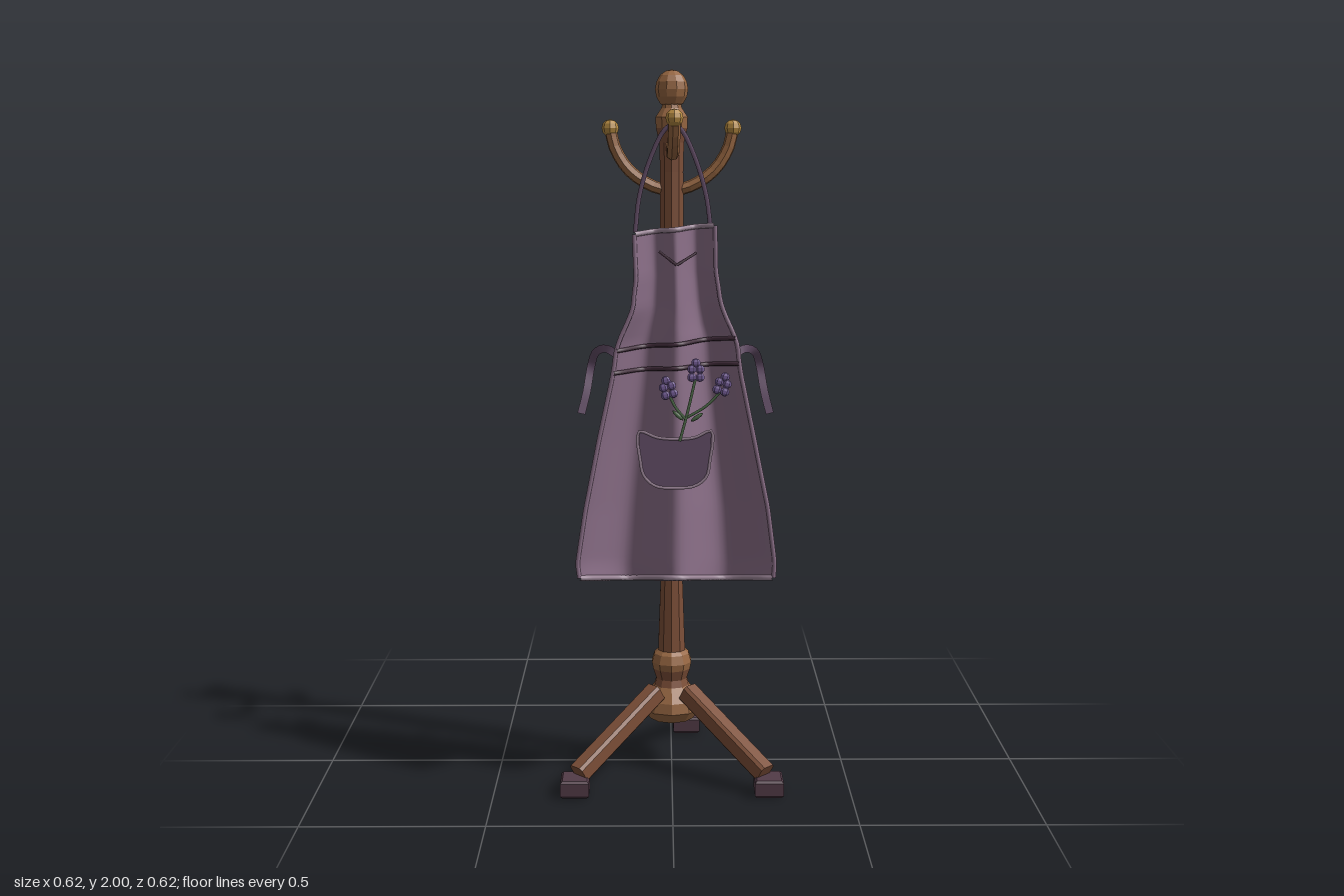
import * as THREE from 'three';

const mat = (name, color, opts = {}) => Object.assign(new THREE.MeshStandardMaterial({ color, ...opts }), { name });
const V = (p) => new THREE.Vector3(...p);

export function createModel() {
  const root = new THREE.Group();
  root.name = 'coatStandWithApron';
  const DS = { side: THREE.DoubleSide };
  const wood = mat('darkWood', 0x7d4f38, { flatShading: true });
  const lightWood = mat('lightWood', 0x966641, { flatShading: true });
  const brass = mat('brass', 0xb58a42, { flatShading: true });
  const footMat = mat('footPlum', 0x523b47, { flatShading: true });
  const fabric = mat('mauveFabric', 0x8c7089, DS);
  const strapMat = mat('plumStrap', 0x66506a, DS);
  const stitch = mat('darkStitch', 0x46303f);
  const trim = mat('paleTrim', 0x9c8698);
  const green = mat('stemGreen', 0x4f6b4a, DS);
  const violet = mat('lavender', 0x77609a, { flatShading: true });

  const add = (name, geo, material, parent = root) => {
    const m = new THREE.Mesh(geo, material);
    m.name = name;
    parent.add(m);
    return m;
  };
  const tube = (name, pts, r, material, parent = root, seg = 12, sides = 6) =>
    add(name, new THREE.TubeGeometry(new THREE.CatmullRomCurve3(pts.map(V)), seg, r, sides), material, parent);
  const lathe = (name, pts, material) =>
    add(name, new THREE.LatheGeometry(pts.map(([r, y]) => new THREE.Vector2(r, y)), 10), material);

  // Turned pole: dark shaft with lighter collars
  lathe('base', [[0, 0.135], [0.065, 0.135], [0.086, 0.165], [0.08, 0.195], [0.052, 0.235]], lightWood);
  lathe('baseNeck', [[0.052, 0.235], [0.046, 0.255], [0.056, 0.285]], wood);
  lathe('baseCollar', [[0.056, 0.285], [0.06, 0.305], [0.052, 0.33], [0.041, 0.34]], lightWood);
  lathe('lowerShaft', [[0.041, 0.34], [0.032, 0.59], [0.037, 0.6]], wood);
  lathe('middleCollar', [[0.037, 0.6], [0.043, 0.61], [0.043, 0.645], [0.038, 0.655]], lightWood);
  lathe('upperShaft', [[0.038, 0.655], [0.037, 1.2], [0.034, 1.72], [0.036, 1.8], [0.046, 1.84]], wood);
  lathe('topCollar', [[0.046, 1.84], [0.047, 1.87], [0.03, 1.895], [0.026, 1.91]], lightWood);
  const finial = add('finial', new THREE.SphereGeometry(0.046, 10, 8), lightWood);
  finial.scale.y = 1.17;
  finial.position.y = 1.946;

  // Splayed legs with chamfered square section, and block feet
  const w = 0.026, c = 0.018;
  const section = new THREE.Shape([[w, c], [c, w], [-c, w], [-w, c], [-w, -c], [-c, -w], [c, -w], [w, -c]]
    .map(([x, y]) => new THREE.Vector2(x, y)));
  const legs = [
    ['left', [0.045, 0.23, 0.062], [0.26, 0.057, 0.262], [0.27, 0.266]],
    ['right', [-0.045, 0.23, 0.062], [-0.262, 0.057, 0.262], [-0.272, 0.266]],
    ['back', [0.016, 0.23, -0.055], [0.047, 0.057, -0.265], [0.047, -0.27]]];
  for (const [side, a, b, f] of legs) {
    const leg = add(side + 'Leg', new THREE.ExtrudeGeometry(section,
      { depth: V(a).distanceTo(V(b)), bevelEnabled: false }), wood);
    leg.position.set(...a);
    leg.lookAt(V(b));
    const foot = new THREE.Shape([[-0.034, -0.038], [0.034, -0.038], [0.034, 0.038], [-0.034, 0.038]]
      .map(([x, y]) => new THREE.Vector2(x, y)));
    const fg = new THREE.ExtrudeGeometry(foot,
      { depth: 0.036, bevelSize: 0.006, bevelThickness: 0.007, bevelSegments: 1 });
    const block = add(side + 'Foot', fg.rotateX(-Math.PI / 2), footMat);
    block.position.set(f[0], 0.007, f[1]);
  }

  // Hooks with brass knobs
  const hook = (name, pts) => {
    tube(name + 'Hook', pts, 0.0175, lightWood, root, 10, 7);
    add(name + 'Knob', new THREE.SphereGeometry(0.024, 8, 6), brass).position.set(...pts.at(-1));
  };
  for (const s of [-1, 1])
    hook(s > 0 ? 'left' : 'right', [[0, 1.665, 0], [s * 0.06, 1.683, 0], [s * 0.12, 1.725, -0.002],
      [s * 0.158, 1.785, -0.005], [s * 0.171, 1.84, -0.007]]);
  hook('front', [[0, 1.795, 0.02], [0.002, 1.768, 0.1], [0.004, 1.8, 0.175], [0.006, 1.866, 0.212]]);

  // Apron cloth: u runs across (-1..1), v runs down (0..1); folds deepen to the hem
  const apron = new THREE.Group();
  apron.name = 'apron';
  root.add(apron);
  const outline = [[1.57, -0.102, 0.115], [1.45, -0.098, 0.118], [1.36, -0.108, 0.132], [1.31, -0.13, 0.152],
    [1.265, -0.15, 0.175], [1.19, -0.16, 0.183], [1.0, -0.2, 0.222], [0.8, -0.238, 0.262],
    [0.65, -0.26, 0.281], [0.605, -0.255, 0.278]];
  const cloth = (u, v) => {
    const y = 1.57 - 0.965 * v;
    let i = 0;
    while (i < outline.length - 2 && y < outline[i + 1][0]) i++;
    const [y0, l0, r0] = outline[i], [y1, l1, r1] = outline[i + 1];
    const t = THREE.MathUtils.clamp((y0 - y) / (y0 - y1), 0, 1), k = (u + 1) / 2;
    const fold = Math.cos(2 * Math.PI * u * (1 - 0.06 * u * u));
    return [(l0 + (l1 - l0) * t) * (1 - k) + (r0 + (r1 - r0) * t) * k,
      y + 0.012 * u * (1 - v) + 0.017 * v * v * fold,
      0.203 + (0.024 + 0.043 * v) * fold];
  };
  const sheet = new THREE.PlaneGeometry(2, 1, 40, 48);
  const sp = sheet.attributes.position;
  for (let i = 0; i < sp.count; i++) sp.setXYZ(i, ...cloth(sp.getX(i), 0.5 - sp.getY(i)));
  sheet.computeVertexNormals();
  add('apronCloth', sheet, fabric, apron);

  const onCloth = (u, v, dz = 0) => { const p = cloth(u, v); p[2] += dz; return p; };
  const steps = Array.from({ length: 25 }, (_, i) => i / 24);
  tube('hem', steps.map((t) => onCloth(2 * t - 1, 1)), 0.008, trim, apron, 60);
  tube('bibEdge', steps.map((t) => onCloth(2 * t - 1, 0)), 0.007, trim, apron, 60);
  for (const s of [-1, 1])
    tube('sideEdge', steps.map((t) => onCloth(s, t)), 0.006, fabric, apron, 60);
  for (const [v, tilt] of [[0.32, 0.01], [0.388, 0.006]])
    tube('waistSeam', steps.map((t) => onCloth(2 * t - 1, v - tilt * (2 * t - 1), 0.005)), 0.006, stitch, apron, 60);
  const vNeck = [[-0.035, 1.512, 0.226], [0.012, 1.476, 0.234], [0.065, 1.508, 0.214]];
  for (const i of [0, 1]) tube('neckStitch', [vNeck[i], vNeck[i + 1]], 0.004, stitch, apron, 4);

  // Neck strap looped over the front hook
  tube('neckStrap', [[-0.1, 1.56, 0.18], [-0.088, 1.66, 0.18], [-0.058, 1.76, 0.183], [-0.02, 1.835, 0.188],
    [0.004, 1.85, 0.19], [0.025, 1.835, 0.188], [0.062, 1.76, 0.183], [0.092, 1.66, 0.18], [0.104, 1.575, 0.18]],
  0.007, strapMat, apron, 32);

  // Waist ties: flat ribbons hanging on both sides
  const ribbon = (name, pts, half) => {
    const curve = new THREE.CatmullRomCurve3(pts.map(V), false, 'centripetal');
    const g = new THREE.PlaneGeometry(1, 1, 16, 1), p = g.attributes.position;
    for (let i = 0; i < p.count; i++) {
      const t = p.getX(i) + 0.5, q = curve.getPoint(t), d = curve.getTangent(t);
      const side = new THREE.Vector3(-d.y, d.x, 0).normalize().multiplyScalar(2 * half * p.getY(i));
      p.setXYZ(i, q.x + side.x, q.y + side.y, q.z);
    }
    g.computeVertexNormals();
    add(name, g, strapMat, apron);
  };
  for (const s of [-1, 1]) {
    const o = s > 0 ? 0.02 : 0;
    ribbon(s > 0 ? 'leftTie' : 'rightTie', [[0.145, 1.225, 0.188], [0.18, 1.243, 0.17], [0.208, 1.232, 0.145],
      [0.224, 1.19, 0.11], [0.236, 1.12, 0.135], [0.251, 1.06, 0.152]].map(([x, y, z]) => [s * (x + o), y, z]), 0.011);
  }

  // Pocket plate with binding
  const pocketPts = [[-0.09, 1.03], [-0.04, 1.014], [0.01, 1.01], [0.06, 1.014], [0.106, 1.032], [0.102, 0.95],
    [0.092, 0.905], [0.06, 0.88], [0.01, 0.875], [-0.045, 0.88], [-0.077, 0.908], [-0.087, 0.95]];
  const pocket = new THREE.Shape(pocketPts.map(([x, y]) => new THREE.Vector2(x, y)));
  add('pocket', new THREE.ExtrudeGeometry(pocket, { depth: 0.008, bevelEnabled: false }), strapMat, apron)
    .position.z = 0.268;
  const rim = new THREE.CatmullRomCurve3(pocketPts.map(([x, y]) => V([x, y, 0.275])), true, 'centripetal');
  add('pocketBinding', new THREE.TubeGeometry(rim, 48, 0.004, 5, true), trim, apron);

  // Lavender sprig rising from the pocket
  const sprig = new THREE.Group();
  sprig.name = 'lavenderSprig';
  apron.add(sprig);
  const z = 0.279;
  for (const pts of [
    [[0.02, 1.005, z], [0.04, 1.08, z], [0.063, 1.18, z]],
    [[0.036, 1.065, z], [0.01, 1.095, z], [-0.008, 1.13, z]],
    [[0.04, 1.07, z], [0.09, 1.1, z], [0.13, 1.14, z]]]) tube('stem', pts, 0.004, green, sprig, 8, 5);
  const leaf = (x, y, a) => {
    const m = add('leaf', new THREE.SphereGeometry(0.02, 6, 4), green, sprig);
    m.scale.set(1, 0.3, 0.2);
    m.rotation.z = a;
    m.position.set(x, y, z);
  };
  leaf(0.015, 1.075, 2.4);
  leaf(0.066, 1.07, 0.6);
  for (const [x, y, a] of [[-0.012, 1.148, 0.25], [0.063, 1.195, 0], [0.135, 1.158, -0.3]]) {
    const head = new THREE.Group();
    head.name = 'flowerHead';
    head.position.set(x, y, z + 0.003);
    head.rotation.z = a;
    sprig.add(head);
    for (let i = 0; i < 5; i++) {
      const bud = add('bud', new THREE.SphereGeometry(0.0125, 6, 5), violet, head);
      bud.scale.z = 0.6;
      bud.position.set(i === 4 ? 0 : (i % 2 ? 0.011 : -0.011), i === 4 ? 0.023 : -0.016 + 0.022 * (i >> 1), 0);
    }
  }
  return root;
}
